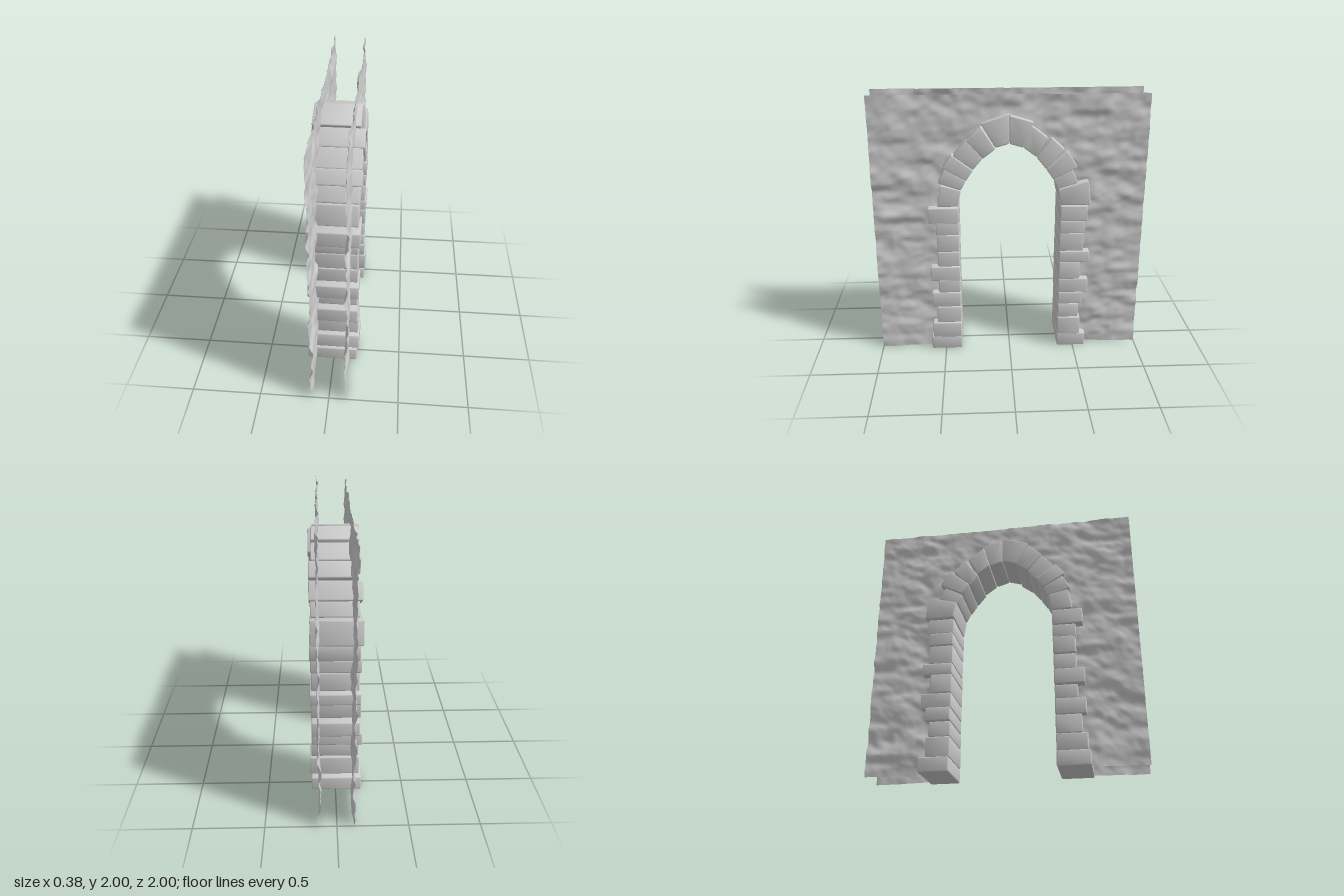
import * as THREE from 'three';
import { toCreasedNormals } from 'three/addons/utils/BufferGeometryUtils.js';

const stoneMat = new THREE.MeshStandardMaterial({ color: 0xcccccc });
const wallMat = new THREE.MeshStandardMaterial({ color: 0xcccccc, side: THREE.DoubleSide });

// Seeded smooth value noise, -1..1
function hash(i, j, s) {
  const v = Math.sin(i * 127.1 + j * 311.7 + s * 74.7) * 43758.5453;
  return (v - Math.floor(v)) * 2 - 1;
}
function noise(u, v, s) {
  const i = Math.floor(u), j = Math.floor(v);
  const f = THREE.MathUtils.smoothstep(u - i, 0, 1), g = THREE.MathUtils.smoothstep(v - j, 0, 1);
  const mix = THREE.MathUtils.lerp;
  return mix(mix(hash(i, j, s), hash(i + 1, j, s), f), mix(hash(i, j + 1, s), hash(i + 1, j + 1, s), f), g);
}

// Rough stone sheet with an arched opening whose edge lies behind the stones
function wallSheet(side) {
  const n = 110, pos = [], index = [];
  for (let j = 0; j <= n; j++) {
    for (let i = 0; i <= n; i++) {
      const z = -1 + 2 * i / n, y = 2 * j / n;
      const warp = 0.4 * noise(z * 4, y * 4, 9);
      const bump = 0.013 * noise(z * 5 + warp, y * 11 + warp, 1 + side)
        + 0.008 * noise(z * 12 + warp, y * 20, 5 + side) + 0.003 * noise(z * 30, y * 34, 7);
      pos.push(side * (0.12 + bump), y, z);
    }
  }
  const inHole = (z, y) => y < 1.19 ? Math.abs(z) < 0.45 : Math.hypot(z / 0.45, (y - 1.19) / 0.56) < 1;
  for (let j = 0; j < n; j++) {
    for (let i = 0; i < n; i++) {
      if (inHole(-1 + (2 * i + 1) / n, (2 * j + 1) / n)) continue;
      const a = j * (n + 1) + i, b = a + 1, c = a + n + 1, d = c + 1;
      if (side > 0) index.push(a, c, b, b, c, d);
      else index.push(a, b, c, b, d, c);
    }
  }
  const geo = new THREE.BufferGeometry();
  geo.setAttribute('position', new THREE.Float32BufferAttribute(pos, 3));
  geo.setIndex(index);
  geo.computeVertexNormals();
  const mesh = new THREE.Mesh(geo, wallMat);
  mesh.name = side > 0 ? 'leftWall' : 'rightWall';
  return mesh;
}

// Block with softened edges: four [z, y] corners, running from x0 to x1
function stone(name, corners, x0, x1) {
  const r = 0.012, b = 0.007;
  const pts = corners.map(([z, y]) => new THREE.Vector2(z, y));
  const shape = new THREE.Shape();
  pts.forEach((p, i) => {
    const toward = q => p.clone().add(q.clone().sub(p).setLength(r));
    const from = toward(pts[(i + 3) % 4]), to = toward(pts[(i + 1) % 4]);
    if (i === 0) shape.moveTo(from.x, from.y);
    else shape.lineTo(from.x, from.y);
    shape.quadraticCurveTo(p.x, p.y, to.x, to.y);
  });
  shape.closePath();
  const geo = new THREE.ExtrudeGeometry(shape, {
    depth: x1 - x0 - 2 * b, curveSegments: 3,
    bevelEnabled: true, bevelSize: b, bevelThickness: b, bevelOffset: -b, bevelSegments: 2,
  });
  geo.rotateY(-Math.PI / 2).translate(x1 - b, 0, 0);
  const mesh = new THREE.Mesh(toCreasedNormals(geo, 0.8), stoneMat);
  mesh.name = name;
  return mesh;
}

// Pillar courses: [top height, outer z, x0, x1]
const frontPillar = [
  [0.11, 0.61, -0.195, 0.175], [0.235, 0.595, -0.175, 0.19], [0.37, 0.56, -0.175, 0.18],
  [0.49, 0.595, -0.18, 0.175], [0.595, 0.54, -0.165, 0.17], [0.71, 0.595, -0.19, 0.18],
  [0.83, 0.54, -0.175, 0.17], [0.965, 0.54, -0.19, 0.17], [1.065, 0.545, -0.18, 0.17],
  [1.185, 0.6, -0.19, 0.185],
];
const backPillar = [
  [0.107, 0.595, -0.19, 0.175], [0.257, 0.55, -0.175, 0.185], [0.37, 0.535, -0.17, 0.175],
  [0.47, 0.56, -0.195, 0.17], [0.585, 0.6, -0.175, 0.17], [0.73, 0.535, -0.185, 0.175],
  [0.82, 0.6, -0.18, 0.18], [0.965, 0.555, -0.17, 0.17], [1.065, 0.56, -0.185, 0.175],
  [1.185, 0.575, -0.175, 0.18],
];

// Inner ends of the arch joints, from springing to crown
const joints = [[0.375, 1.19], [0.353, 1.315], [0.315, 1.39], [0.262, 1.47], [0.193, 1.555], [0.1, 1.625], [0, 1.655]];
// Arch stones: outer lower z, y, outer upper z, y, x0, x1
const frontArch = [
  [0.53, 1.19, 0.503, 1.355, -0.19, 0.17], [0.52, 1.373, 0.46, 1.485, -0.18, 0.175],
  [0.483, 1.49, 0.415, 1.585, -0.19, 0.185], [0.405, 1.575, 0.305, 1.69, -0.165, 0.18],
  [0.31, 1.69, 0.2, 1.785, -0.18, 0.19], [0.205, 1.8, 0, 1.87, -0.18, 0.157],
];
const backArch = [
  [0.6, 1.19, 0.575, 1.375, -0.195, 0.175], [0.5, 1.36, 0.45, 1.465, -0.17, 0.17],
  [0.49, 1.48, 0.415, 1.6, -0.19, 0.18], [0.395, 1.61, 0.3, 1.7, -0.165, 0.18],
  [0.275, 1.695, 0.15, 1.79, -0.185, 0.165], [0.17, 1.81, 0, 1.86, -0.175, 0.165],
];

function archSide(label, pillar, arch, s) {
  const group = new THREE.Group();
  group.name = label + 'Side';
  // Mirroring in z reverses the outline; the shape is re-ordered by the extrusion
  const flip = list => list.map(([z, y]) => [s * z, y]);
  let y0 = 0;
  for (const [y1, outer, x0, x1] of pillar) {
    group.add(stone(label + 'PillarStone', flip([[0.375, y0], [outer, y0], [outer, y1], [0.375, y1]]), x0, x1));
    y0 = y1;
  }
  arch.forEach(([za, ya, zb, yb, x0, x1], i) => {
    group.add(stone(label + 'ArchStone', flip([joints[i], [za, ya], [zb, yb], joints[i + 1]]), x0, x1));
  });
  return group;
}

export function createModel() {
  const model = new THREE.Group();
  model.name = 'archway';
  model.add(wallSheet(1), wallSheet(-1));
  model.add(archSide('front', frontPillar, frontArch, 1), archSide('back', backPillar, backArch, -1));
  return model;
}
